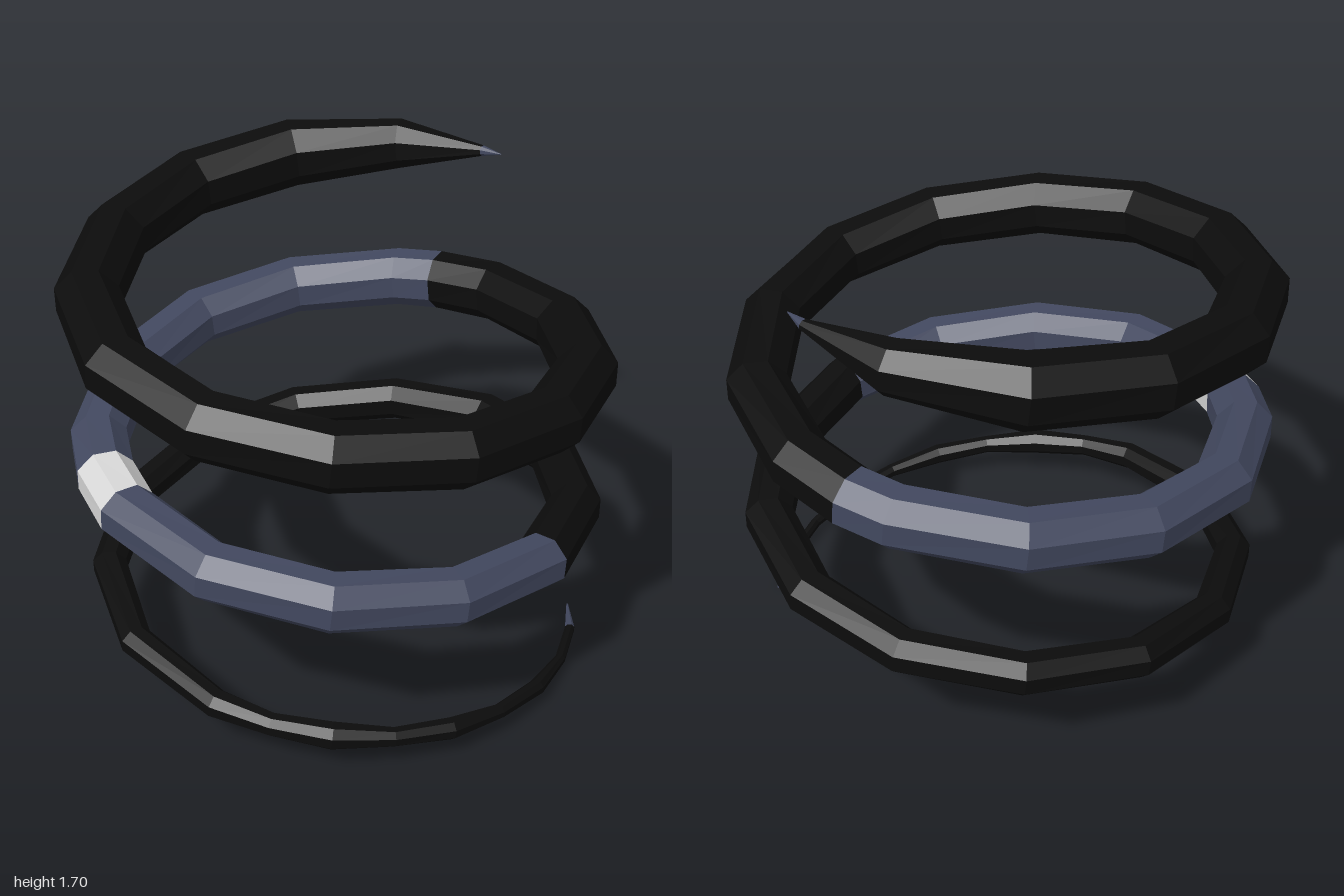
import * as THREE from 'three';

const SIDES = 8;
const PER_TURN = 13; // rings in one full turn of the coil

const material = (name, color, extra = {}) => {
  const m = new THREE.MeshStandardMaterial({ color, flatShading: true, ...extra });
  m.name = name;
  return m;
};

// Body half-thickness along the coil: [turns, radius]
const thickness = [
  [-0.012, 0.003], [0.004, 0.014], [0.02, 0.018], [0.12, 0.028], [0.25, 0.043],
  [0.5, 0.064], [0.75, 0.075], [1, 0.09], [1.25, 0.098], [2, 0.106],
  [2.5, 0.112], [2.71, 0.118], [2.788, 0.087], [2.866, 0.001],
];

function radiusAt(t) {
  for (let i = 1; i < thickness.length; i++) {
    const [t0, r0] = thickness[i - 1], [t1, r1] = thickness[i];
    if (t <= t1) return THREE.MathUtils.lerp(r0, r1, Math.max(0, (t - t0) / (t1 - t0)));
  }
  return 0.001;
}

// One octagonal cross-section at ring position k
function ring(k) {
  const t = 0.25 + k / PER_TURN;
  const a = t * Math.PI * 2;
  const coil = 0.88 + 0.02 * Math.max(0, 1 - t * 2);
  const out = new THREE.Vector3(Math.cos(a), 0, Math.sin(a));
  const along = new THREE.Vector3(-Math.sin(a), 0.1, Math.cos(a)).normalize();
  const up = new THREE.Vector3().crossVectors(along, out).normalize();
  if (up.y < 0) up.negate();
  const centre = out.clone().multiplyScalar(coil).setY(0.016 + 0.576 * t);
  // The thin end is slightly knobbly
  const knob = k > -3 && k < 0.6 ? (Math.round(k * 2) % 2 ? 0.85 : 1.1) : 1;
  const r = radiusAt(t) * knob / Math.cos(Math.PI / SIDES);
  return Array.from({ length: SIDES }, (_, i) => {
    const b = (i + 0.5) * Math.PI * 2 / SIDES;
    return centre.clone()
      .addScaledVector(out, Math.cos(b) * r)
      .addScaledVector(up, Math.sin(b) * r);
  });
}

// Skin of the body between two ring positions
function section(name, from, to, mat) {
  const stations = [from];
  for (let k = -3; k < to; k += k < 1 ? 0.5 : 1) if (k > from) stations.push(k);
  stations.push(to);
  const positions = stations.flatMap((k) => ring(k).flatMap((p) => p.toArray()));
  const index = [];
  for (let s = 0; s < stations.length - 1; s++) {
    for (let i = 0; i < SIDES; i++) {
      const a = s * SIDES + i, b = s * SIDES + (i + 1) % SIDES;
      index.push(a, b, a + SIDES, b, b + SIDES, a + SIDES);
    }
  }
  const geometry = new THREE.BufferGeometry();
  geometry.setAttribute('position', new THREE.Float32BufferAttribute(positions, 3));
  geometry.setIndex(index);
  geometry.computeVertexNormals();
  const mesh = new THREE.Mesh(geometry, mat);
  mesh.name = name;
  return mesh;
}

export function createModel() {
  const black = material('black', 0x0c0c0c, { side: THREE.DoubleSide });
  const blue = material('slateBlue', 0x42485f, { side: THREE.DoubleSide });
  const white = material('paleGrey', 0xd6d6d6, { side: THREE.DoubleSide });

  const group = new THREE.Group();
  group.name = 'coil';
  group.add(
    section('lowerTip', -3.4, -3, blue),
    section('lowerCoil', -3, 11, black),
    section('middleCoilLower', 11, 15, blue),
    section('paleBand', 15, 15.5, white),
    section('middleCoilUpper', 15.5, 20.4, blue),
    section('upperCoil', 20.4, 33.8, black),
    section('upperTip', 33.8, 34, blue),
  );
  return group;
}
